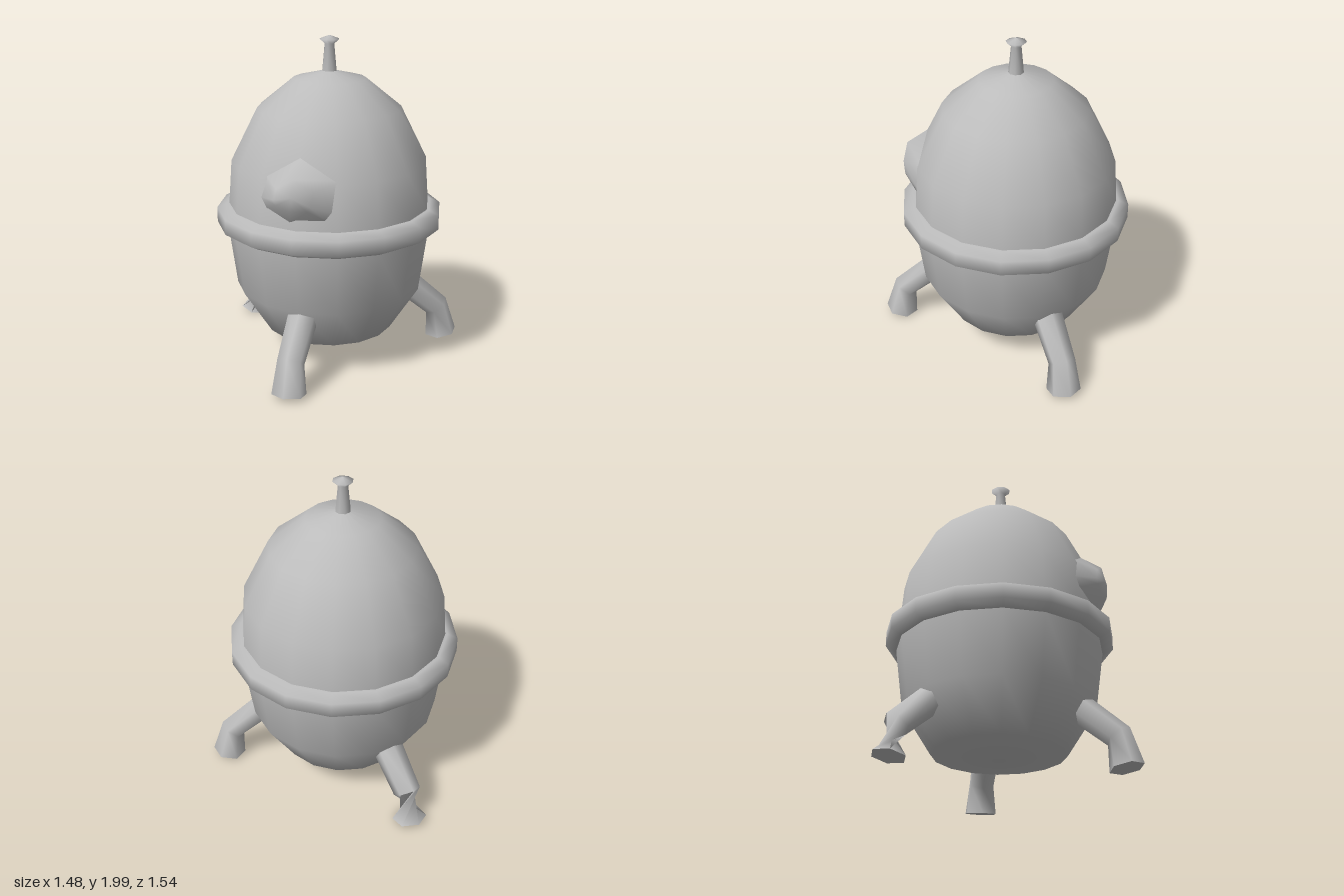
import * as THREE from 'three';

const shellGrey = new THREE.MeshStandardMaterial({ color: 0xbcbcbc, side: THREE.DoubleSide });
shellGrey.name = 'shellGrey';

function part(name, geometry) {
  const mesh = new THREE.Mesh(geometry, shellGrey);
  mesh.name = name;
  return mesh;
}

// Smooth revolved part, profile given as [radius, y] from bottom to top
function turned(name, profile, sides) {
  return part(name, new THREE.LatheGeometry(profile.map(([r, y]) => new THREE.Vector2(r, y)), sides));
}

function meshFrom(points, faces) {
  const g = new THREE.BufferGeometry();
  g.setAttribute('position', new THREE.Float32BufferAttribute(points.flat(), 3));
  g.setIndex(faces.flat());
  g.computeVertexNormals();
  return g;
}

// Bent six-sided leg reaching out along +z; footTwist turns the foot by whole corners
function leg(name, angle, footTwist) {
  const N = 6;
  // reach, height, half reach, half height, half width, twist
  const sections = [
    [0.40, 0.49, 0.063, 0.063, 0.098, 0],
    [0.715, 0.215, 0.065, 0.047, 0.082, 0],
    [0.752, 0.028, 0.1, 0.018, 0.104, footTwist],
  ];
  const points = [], faces = [];
  const ring = ([r, y, hr, hy, w, twist]) => {
    for (let i = 0; i < N; i++) {
      const t = ((i + twist) / N) * Math.PI * 2;
      points.push([w * Math.sin(t), y + hy * Math.cos(t), r + hr * Math.cos(t)]);
    }
  };
  sections.forEach(ring);
  for (let s = 0; s < sections.length - 1; s++) {
    for (let i = 0; i < N; i++) {
      const j = (i + 1) % N, a = s * N, b = a + N;
      faces.push([a + i, b + i, b + j], [a + i, b + j, a + j]);
    }
  }
  // sole
  const sole = points.length;
  ring(sections[2]);
  points.push([0, sections[2][1], sections[2][0]]);
  for (let i = 0; i < N; i++) faces.push([sole + N, sole + (i + 1) % N, sole + i]);
  const mesh = part(name, meshFrom(points, faces));
  mesh.rotation.y = angle;
  return mesh;
}

// Bulging faceted window, from its rim through a raised ring to the centre
function porthole() {
  const rim = [
    [0.245, 1.27, 0.44], [0, 1.39, 0.44], [-0.2, 1.27, 0.46], [-0.235, 1.14, 0.47],
    [-0.2, 1.08, 0.48], [-0.04, 1.02, 0.52], [0.17, 1.04, 0.49], [0.205, 1.09, 0.48],
  ];
  const n = rim.length, cy = 1.19;
  const raised = rim.map(([x, y]) => [x * 0.5, cy + (y - cy) * 0.5, 0.575]);
  const points = [...rim, ...raised, [0, cy, 0.597]];
  const faces = [];
  for (let i = 0; i < n; i++) {
    const j = (i + 1) % n;
    faces.push([i, j, n + j], [i, n + j, n + i], [n + i, n + j, 2 * n]);
  }
  return part('porthole', meshFrom(points, faces));
}

export function createModel() {
  const model = new THREE.Group();
  model.name = 'landerPod';

  // Everything turned or radial shares one upright axis
  const hull = new THREE.Group();
  hull.name = 'hull';
  hull.position.z = -0.08;
  model.add(hull);

  hull.add(turned('lowerHull', [
    [0, 0.145], [0.4, 0.185], [0.575, 0.46], [0.625, 0.83], [0.622, 0.9],
  ], 16));
  hull.add(turned('dome', [
    [0.622, 0.9], [0.615, 0.98], [0.595, 1.25], [0.435, 1.57], [0.22, 1.745], [0, 1.8],
  ], 16));
  hull.add(turned('beltRing', [
    [0.56, 0.83], [0.63, 0.83], [0.69, 0.862], [0.69, 0.952], [0.63, 0.98], [0.56, 0.98],
  ], 16));
  hull.add(turned('antenna', [
    [0.046, 1.78], [0.03, 1.95], [0.061, 1.977], [0, 2],
  ], 8));

  // Three legs; the right one has its foot twisted half a turn
  hull.add(leg('frontLeg', 0, 0));
  hull.add(leg('leftLeg', Math.PI * 2 / 3, 0));
  hull.add(leg('rightLeg', -Math.PI * 2 / 3, 3));

  model.add(porthole());
  return model;
}
